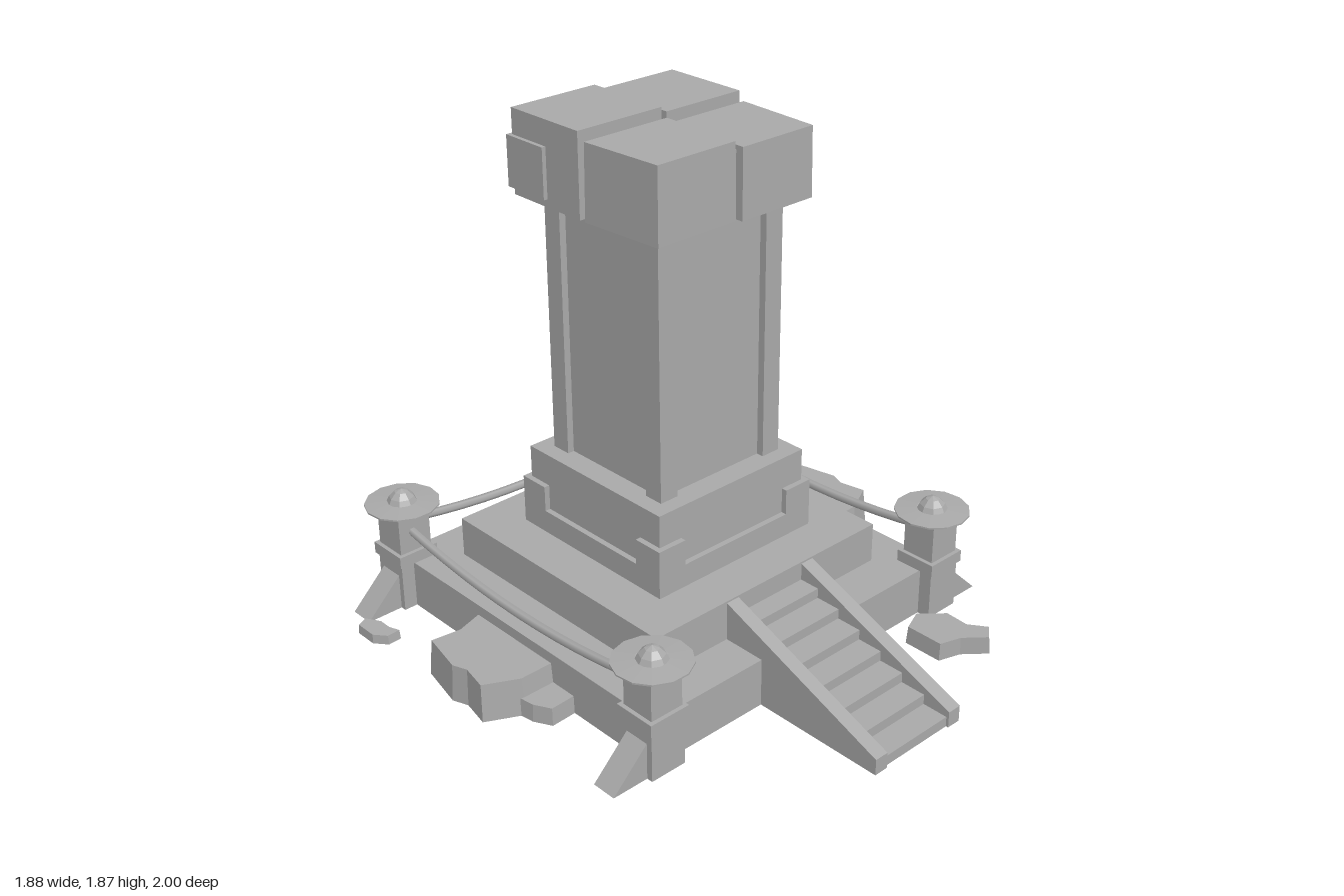
import * as THREE from 'three';

const stone = new THREE.MeshStandardMaterial({ color: 0xa8a8a8, side: THREE.DoubleSide });
stone.name = 'grey stone';
const ZC = -0.195; // centre of the tower in z

export function createModel() {
  const root = new THREE.Group();
  root.name = 'towerShrine';

  const add = (name, geometry, parent = root) => {
    const mesh = new THREE.Mesh(geometry, stone);
    mesh.name = name;
    parent.add(mesh);
    return mesh;
  };
  const flat = (g) => {
    const f = g.index ? g.toNonIndexed() : g;
    f.computeVertexNormals();
    return f;
  };
  // box given by its limits
  const box = (name, x0, x1, y0, y1, z0, z1, parent) =>
    add(name, new THREE.BoxGeometry(x1 - x0, y1 - y0, z1 - z0)
      .translate((x0 + x1) / 2, (y0 + y1) / 2, (z0 + z1) / 2), parent);
  // box centred on the tower axis
  const tier = (name, half, y0, y1) => box(name, -half, half, y0, y1, ZC - half, ZC + half);
  // upright prism from [x, z] points, optionally wider at the foot
  const prism = (name, pts, y0, y1, flare = 0) => {
    const shape = new THREE.Shape(pts.map(([x, z]) => new THREE.Vector2(x, -z)));
    const g = new THREE.ExtrudeGeometry(shape, { depth: y1 - y0, bevelEnabled: false });
    g.rotateX(-Math.PI / 2).translate(0, y0, 0);
    const cx = pts.reduce((s, p) => s + p[0], 0) / pts.length;
    const cz = pts.reduce((s, p) => s + p[1], 0) / pts.length;
    const p = g.attributes.position;
    for (let i = 0; i < p.count; i++) {
      if (p.getY(i) > y0 + 1e-4) continue;
      p.setX(i, cx + (p.getX(i) - cx) * (1 + flare));
      p.setZ(i, cz + (p.getZ(i) - cz) * (1 + flare));
    }
    return add(name, flat(g));
  };

  // hollow platform, open underneath
  const rim = (w, z0, z1, Type) => new Type([
    new THREE.Vector2(-w, -z0), new THREE.Vector2(w, -z0),
    new THREE.Vector2(w, -z1), new THREE.Vector2(-w, -z1)]);
  const wall = rim(0.685, -0.885, 0.49, THREE.Shape);
  wall.holes.push(rim(0.665, -0.865, 0.47, THREE.Path));
  add('platformWalls', new THREE.ExtrudeGeometry(wall, { depth: 0.18, bevelEnabled: false })
    .rotateX(-Math.PI / 2));
  box('platformTop', -0.685, 0.685, 0.16, 0.18, -0.885, 0.49);

  // stepped pedestal with raised corners
  tier('lowerTier', 0.52, 0.17, 0.33);
  tier('pedestalBase', 0.357, 0.33, 0.415);
  tier('pedestalCore', 0.336, 0.33, 0.63);
  for (const sx of [-1, 1]) for (const sz of [-1, 1]) {
    const corner = box('pedestalCorner', -0.0585, 0.0585, 0.415, 0.51, -0.0585, 0.0585);
    corner.position.set(sx * 0.2985, 0, ZC + sz * 0.2985);
    // corner pilasters of the shaft
    const pilaster = box('pilaster', -0.0375, 0.0375, 0.63, 1.58, -0.0375, 0.0375);
    pilaster.position.set(sx * 0.238, 0, ZC + sz * 0.24);
  }
  tier('shaft', 0.25, 0.62, 1.58);

  // cracked capstone in four uneven blocks
  box('capCore', -0.32, 0.32, 1.575, 1.8, -0.515, 0.125);
  prism('capFrontLeft', [[0.018, 0.155], [0.33, 0.155], [0.345, -0.175], [0.018, -0.175]], 1.57, 1.815, 0.015);
  prism('capFrontRight', [[-0.325, 0.14], [0, 0.14], [0, -0.175], [-0.345, -0.175]], 1.57, 1.835, 0.015);
  prism('capBackLeft', [[0.022, -0.2], [0.35, -0.2], [0.35, -0.53], [0.022, -0.53]], 1.57, 1.845);
  prism('capBackRight', [[-0.35, -0.2], [0, -0.2], [0, -0.53], [-0.35, -0.53]], 1.57, 1.865);
  box('capPatch', -0.365, -0.265, 1.598, 1.775, -0.542, -0.36);

  // staircase
  const profile = new THREE.Shape([[0.32, 0], [1, 0], [1, 0.06], [0.32, 0.325]]
    .map((p) => new THREE.Vector2(...p)));
  for (const x of [-0.15, 0.207]) {
    add('stringer', new THREE.ExtrudeGeometry(profile, { depth: 0.054, bevelEnabled: false })
      .rotateY(-Math.PI / 2).translate(x, 0, 0));
  }
  for (let i = 0; i < 7; i++) {
    const top = 0.037 * (i + 1);
    const front = 0.99 - i * 0.0975;
    box('stair', -0.152, 0.155, top - 0.038, top, Math.max(0.32, front - 0.105), front);
  }

  // corner lantern posts with buttresses
  const wedge = new THREE.Shape([[0.06, 0], [0.21, 0], [0.06, 0.145]]
    .map((p) => new THREE.Vector2(...p)));
  const hat = [[0, 0.372], [0.07, 0.374], [0.135, 0.39], [0.135, 0.396], [0.055, 0.403]];
  const dome = [[0.055, 0.4], [0.045, 0.42], [0.025, 0.44], [0, 0.45]];
  const lathe = (pts, n) => flat(new THREE.LatheGeometry(pts.map((p) => new THREE.Vector2(...p)), n));
  for (const side of [-1, 1]) for (const z of [0.47, -0.865]) {
    const post = new THREE.Group();
    post.name = 'lanternPost';
    box('postFoot', -0.07, 0.07, 0, 0.18, -0.07, 0.07, post);
    box('postCollar', -0.08, 0.08, 0.182, 0.226, -0.08, 0.08, post);
    box('postShaft', -0.065, 0.065, 0.17, 0.38, -0.065, 0.065, post);
    add('buttress', new THREE.ExtrudeGeometry(wedge, { depth: 0.094, bevelEnabled: false })
      .translate(0, 0, -0.047), post);
    add('lanternHat', lathe(hat, 13), post);
    add('lanternDome', lathe(dome, 8), post);
    post.position.set(side * 0.667, 0, z);
    if (side < 0) post.rotation.y = Math.PI;
    root.add(post);
  }

  // sagging ropes on both sides and the back
  const rope = (a, b) => {
    const mid = a.clone().lerp(b, 0.5).setY(0.19);
    add('rope', new THREE.TubeGeometry(new THREE.QuadraticBezierCurve3(a, mid, b), 12, 0.016, 6));
  };
  for (const s of [-1, 1]) {
    rope(new THREE.Vector3(s * 0.676, 0.305, 0.42), new THREE.Vector3(s * 0.676, 0.305, -0.81));
  }
  rope(new THREE.Vector3(-0.61, 0.305, -0.875), new THREE.Vector3(0.61, 0.305, -0.875));

  // boulders against the side walls
  const large = [[0.67, -0.42], [0.785, -0.385], [0.895, -0.4], [0.93, -0.235],
    [0.91, -0.18], [0.93, -0.08], [0.81, -0.018], [0.67, -0.018]];
  const small = [[0.67, -0.02], [0.82, -0.015], [0.812, 0.04], [0.78, 0.1], [0.67, 0.095]];
  for (const s of [-1, 1]) {
    prism('sideBoulder', large.map(([x, z]) => [s * x, z]), 0, 0.14, 0.07);
    prism('sideStone', small.map(([x, z]) => [s * x, z]), 0, 0.067, 0.05);
  }
  // loose stones
  prism('frontStone', [[0.425, 0.59], [0.51, 0.555], [0.59, 0.63], [0.585, 0.72],
    [0.63, 0.785], [0.58, 0.825], [0.505, 0.76], [0.425, 0.735]], 0, 0.067, 0.04);
  prism('backStone', [[-0.94, -0.785], [-0.9, -0.803], [-0.87, -0.75], [-0.87, -0.7],
    [-0.855, -0.66], [-0.905, -0.657], [-0.94, -0.7]], 0, 0.035, 0.05);

  return root;
}
